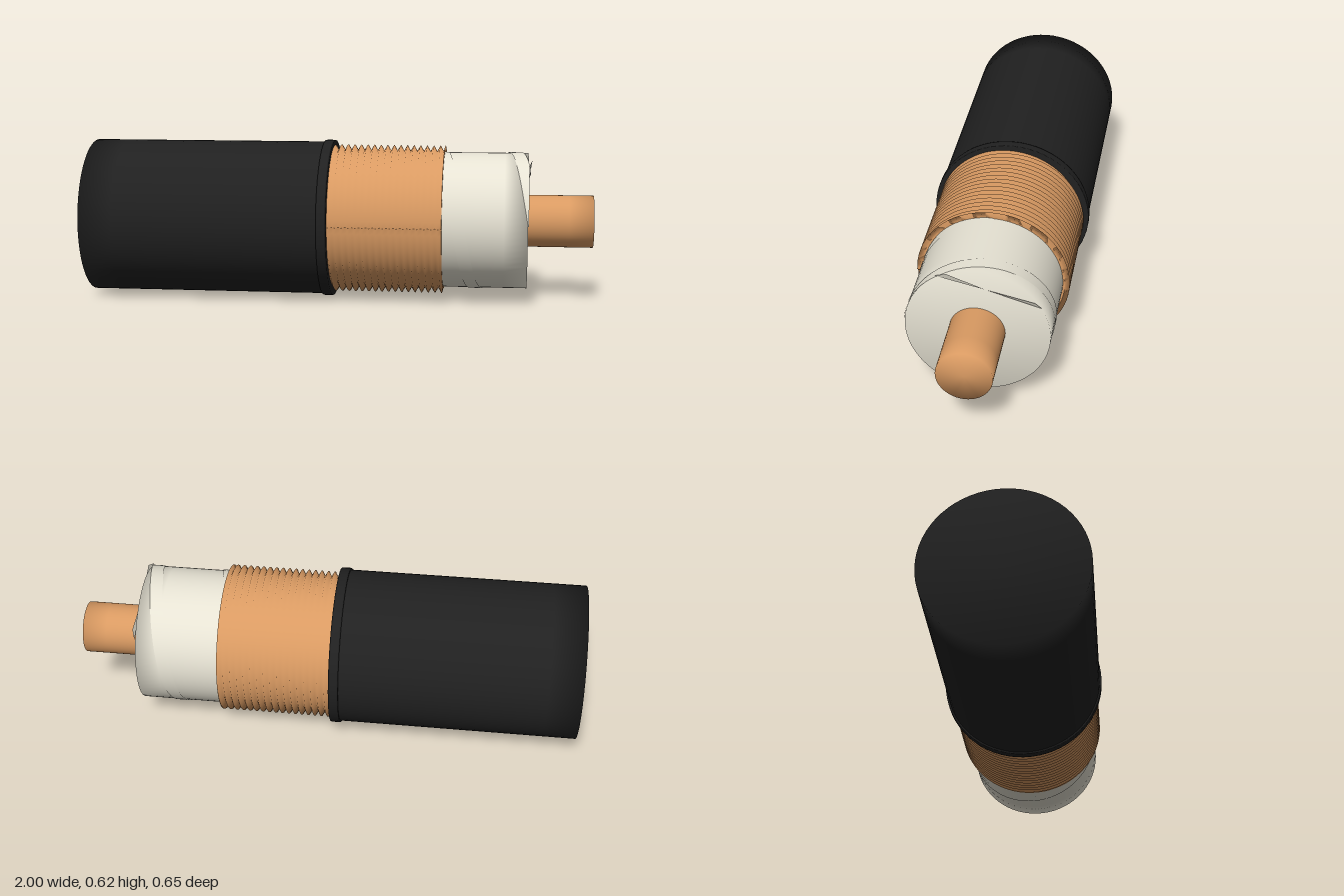
import * as THREE from 'three';
import { ParametricGeometry } from 'three/addons/geometries/ParametricGeometry.js';

const rubber = new THREE.MeshStandardMaterial({ color: 0x202020 });
const copper = new THREE.MeshStandardMaterial({ color: 0xd99a62 });
const plastic = new THREE.MeshStandardMaterial({ color: 0xe6e2d3 });
const tapeMaterial = new THREE.MeshStandardMaterial({ color: 0xe6e2d3, side: THREE.DoubleSide });

// Round part along the x axis; profile is a list of [x, radius]
function turned(profile, segments = 64) {
  const points = profile.map(([x, r]) => new THREE.Vector2(r, x));
  return new THREE.LatheGeometry(points, segments).rotateZ(-Math.PI / 2);
}

// Copper winding: a zigzag tube sheared into a helix and cut flat at both ends
function windingGeometry(start, end, inner, outer, pitch) {
  const profile = [];
  for (let i = 0, x = start - pitch; x <= end + pitch; i++, x += pitch / 2) {
    profile.push([x, i % 2 ? outer : inner]);
  }
  const segments = 72, geometry = turned(profile, segments);
  const pos = geometry.attributes.position;
  for (let i = 0; i < pos.count; i++) {
    const turn = Math.floor(i / profile.length) / segments;
    pos.setX(i, THREE.MathUtils.clamp(pos.getX(i) + turn * pitch, start, end));
  }
  geometry.computeVertexNormals();
  return geometry;
}

// Thin helical band on the insulation
function tapeGeometry(start, end, radius, pitch, width) {
  const surface = (u, v, target) => {
    const angle = u * 7.8;
    const x = 0.38 + (pitch * angle) / (2 * Math.PI) + width * v;
    target.set(THREE.MathUtils.clamp(x, start, end), radius * Math.cos(angle), radius * Math.sin(angle));
  };
  return new ParametricGeometry(surface, 100, 2);
}

// Loose twisted end of the tape lying across the cut face
function tapeEndGeometry() {
  const geometry = new THREE.BufferGeometry();
  geometry.setAttribute('position', new THREE.Float32BufferAttribute([
    0.743, 0.23, 0.15, 0.754, 0.25, 0.105, 0.75, 0.195, -0.035,
    0.754, 0.16, -0.21, 0.743, 0.13, -0.235, 0.75, 0.195, -0.035,
  ], 3));
  geometry.computeVertexNormals();
  return geometry;
}

export function createModel() {
  const model = new THREE.Group();
  model.name = 'cable';
  const add = (name, geometry, material) => {
    const mesh = new THREE.Mesh(geometry, material);
    mesh.name = name;
    model.add(mesh);
  };

  // Outer jacket with a closed back end
  add('jacket', turned([[-0.99, 0], [-0.99, 0.303], [-0.86, 0.303], [-0.055, 0.303]]), rubber);
  // Raised rim where the jacket is cut
  add('jacketRim', turned([
    [-0.06, 0.3], [-0.06, 0.309], [-0.055, 0.31], [-0.028, 0.31], [-0.022, 0.309], [-0.022, 0.26],
  ]), rubber);
  add('copperWinding', windingGeometry(-0.03, 0.415, 0.269, 0.292, 0.0262), copper);
  add('windingEnd', new THREE.RingGeometry(0.262, 0.274, 64).rotateY(Math.PI / 2).translate(0.415, 0, 0), copper);
  // Insulation, its wrapped tape and the core conductor
  add('insulation', turned([[0.35, 0.266], [0.42, 0.266], [0.65, 0.266], [0.74, 0.266], [0.74, 0]]), plastic);
  add('tape', tapeGeometry(0.41, 0.743, 0.2685, 0.29, 0.05), tapeMaterial);
  add('tapeEnd', tapeEndGeometry(), tapeMaterial);
  add('conductor', turned([[0.7, 0.102], [0.9, 0.102], [0.995, 0.102], [0.995, 0]], 48), copper);

  // The cable lies slightly turned about the vertical
  model.rotation.y = -0.035;
  model.position.set(0, 0.31, 0.0125);
  const root = new THREE.Group();
  root.name = 'strippedCable';
  root.add(model);
  return root;
}
